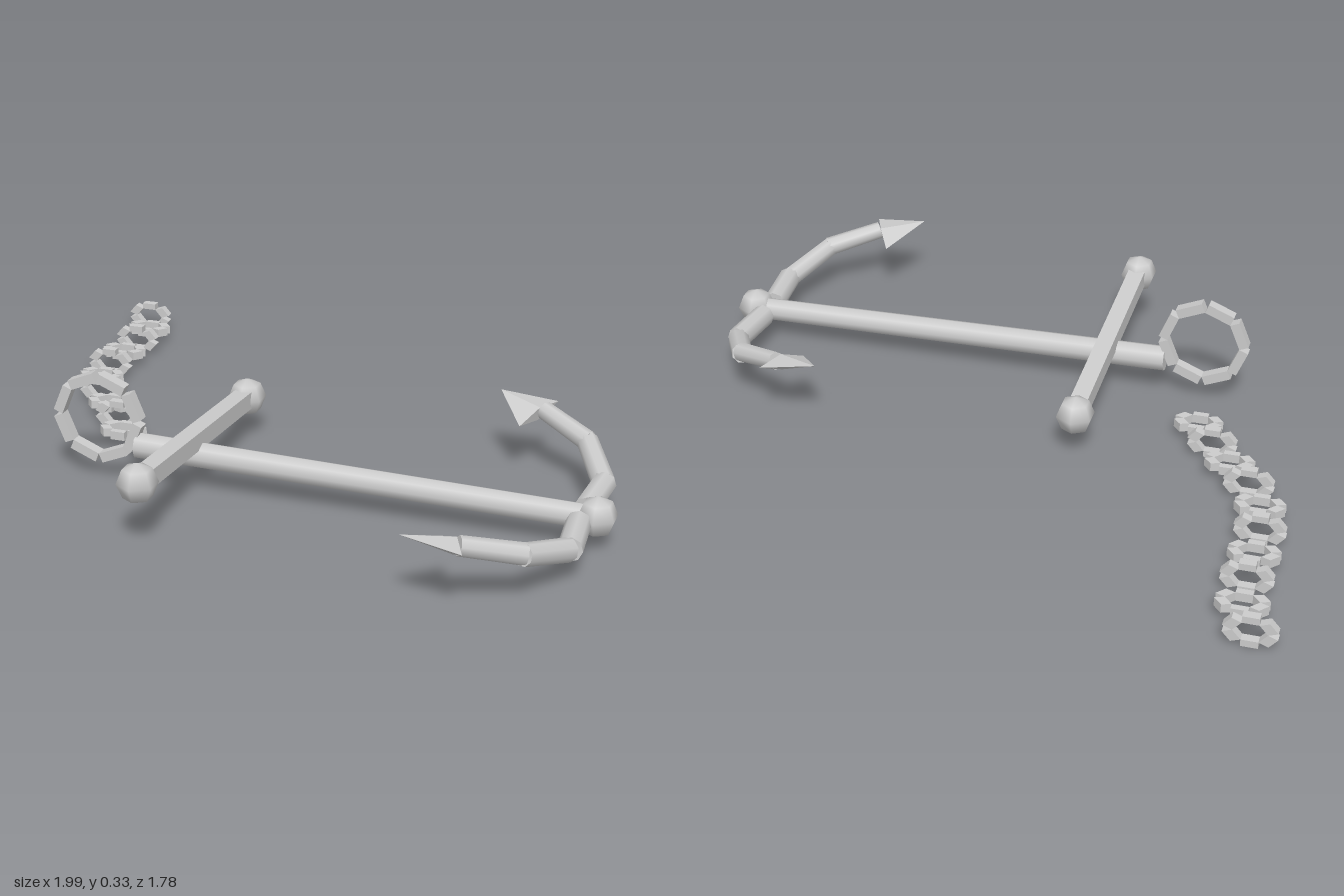
import * as THREE from 'three';

const smooth = new THREE.MeshStandardMaterial({ color: 0xcccccc });
const flat = new THREE.MeshStandardMaterial({ color: 0xcccccc, flatShading: true });
const UP = new THREE.Vector3(0, 1, 0);
const V = (x, y, z) => new THREE.Vector3(x, y, z);

function add(parent, name, geometry, material) {
  const mesh = new THREE.Mesh(geometry, material);
  mesh.name = name;
  parent.add(mesh);
  return mesh;
}

// Rod from a to b
function rod(parent, name, a, b, rA, rB) {
  const dir = b.clone().sub(a);
  const mesh = add(parent, name, new THREE.CylinderGeometry(rB, rA, dir.length(), 8), smooth);
  mesh.position.copy(a).add(b).multiplyScalar(0.5);
  mesh.quaternion.setFromUnitVectors(UP, dir.normalize());
}

function ball(parent, name, p) {
  const geometry = new THREE.SphereGeometry(0.06, 6, 4).rotateY(Math.PI / 2);
  add(parent, name, geometry, smooth).position.copy(p);
}

// Polygonal ring of straight bars in the xy plane; the bars meet at their inner corners
function barRing(name, sides, innerRadius, thickness, depth) {
  const ring = new THREE.Group();
  ring.name = name;
  const half = Math.PI / sides;
  const mid = innerRadius * Math.cos(half) + thickness / 2;
  for (let i = 0; i < sides; i++) {
    const angle = half * (2 * i + 1);
    const geometry = new THREE.BoxGeometry(thickness, 2 * innerRadius * Math.sin(half), depth);
    geometry.translate(mid, 0, 0).rotateZ(angle);
    add(ring, name + 'Bar', geometry, flat);
  }
  return ring;
}

export function createModel() {
  const anchor = new THREE.Group();
  anchor.name = 'anchor';
  const midZ = 0.342;

  // Shank and crown
  rod(anchor, 'shank', V(-0.43, 0.117, midZ), V(0.945, 0.095, midZ), 0.04, 0.036);
  ball(anchor, 'crown', V(0.945, 0.1, midZ));

  // Tilted stock with a ball on each end
  const stockFront = V(-0.25, 0.195, 0.745), stockBack = V(-0.25, 0.13, -0.09);
  const stock = add(anchor, 'stock', new THREE.BoxGeometry(0.054, 0.054, stockFront.distanceTo(stockBack)), flat);
  stock.position.copy(stockFront).add(stockBack).multiplyScalar(0.5);
  stock.lookAt(stockFront);
  ball(anchor, 'stockBall', stockFront);
  ball(anchor, 'stockBall', stockBack);

  // Shackle ring at the shank's end
  const shackle = barRing('shackleRing', 8, 0.113, 0.03, 0.036);
  shackle.position.set(-0.55, 0.192, midZ);
  anchor.add(shackle);

  // Curved arms in three straight segments, with pyramid flukes
  for (const side of [-1, 1]) {
    const arm = new THREE.Group();
    arm.name = side > 0 ? 'frontArm' : 'backArm';
    const P = (x, y, reach) => V(x, y, midZ + side * reach);
    rod(arm, 'innerArm', P(0.903, 0.095, 0.045), P(0.918, 0.1, 0.225), 0.036, 0.036);
    rod(arm, 'middleArm', P(0.915, 0.1, 0.228), P(0.83, 0.15, 0.395), 0.034, 0.032);
    rod(arm, 'outerArm', P(0.835, 0.15, 0.388), P(0.68, 0.192, 0.48), 0.031, 0.028);

    const tip = P(0.535, 0.222, 0.527);
    const outer = P(0.705, 0.2, 0.547), inner = P(0.63, 0.168, 0.387);
    const base = outer.clone().add(inner).multiplyScalar(0.5);
    const across = outer.clone().sub(inner);
    const axis = tip.clone().sub(base);
    const halfWidth = across.length() / 2, length = axis.length();
    axis.normalize();
    across.addScaledVector(axis, -across.dot(axis)).normalize();
    const normal = across.clone().cross(axis);
    const geometry = new THREE.ConeGeometry(1, 1, 4).translate(0, 0.5, 0).scale(halfWidth, length, 0.024);
    geometry.applyMatrix4(new THREE.Matrix4().makeBasis(across, axis, normal).setPosition(base));
    add(arm, 'fluke', geometry, flat);
    anchor.add(arm);
  }

  // Chain of links, alternately lying flat and standing up
  const chain = new THREE.Group();
  chain.name = 'chain';
  const links = [
    [-0.588, 0.1], [-0.65, 0], [-0.72, -0.094], [-0.794, -0.19], [-0.845, -0.297],
    [-0.866, -0.414], [-0.87, -0.532], [-0.872, -0.65], [-0.88, -0.767], [-0.923, -0.88],
  ];
  links.forEach(([x, z], i) => {
    const link = barRing('chainLink', 6, 0.047, 0.031, 0.027);
    const lying = i % 2 === 0;
    link.scale.y = 0.66;
    if (lying) link.rotation.x = -Math.PI / 2;
    link.position.set(x, lying ? 0.044 : 0.05, z);
    chain.add(link);
  });
  anchor.add(chain);

  return anchor;
}
